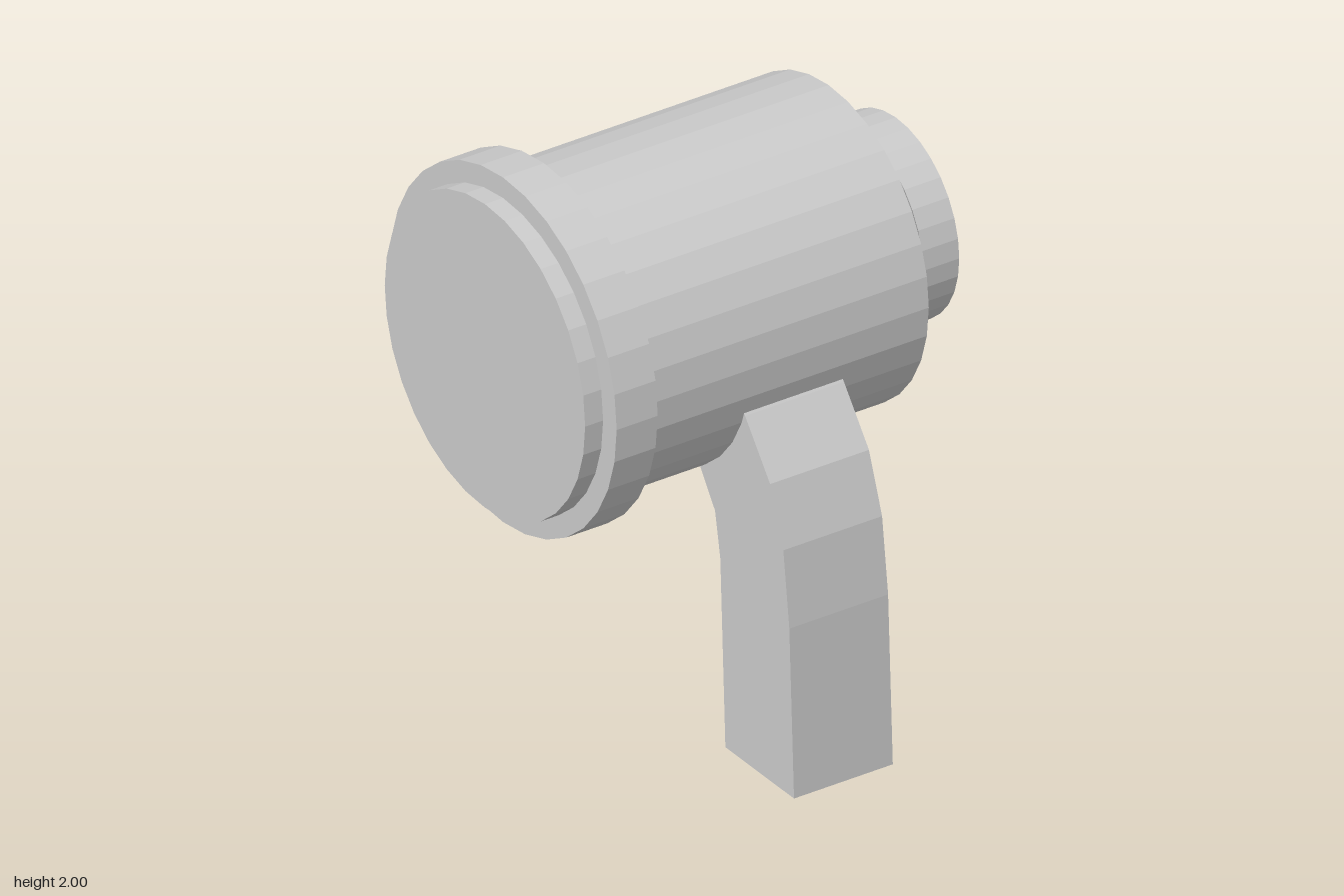
import * as THREE from 'three';

const AXIS_Y = 1.395, AXIS_Z = -0.08, SIDES = 32;

export function createModel() {
  const model = new THREE.Group();
  const material = new THREE.MeshStandardMaterial({ color: 0xcccccc, flatShading: true });

  function add(name, geometry) {
    const mesh = new THREE.Mesh(geometry, material);
    mesh.name = name;
    model.add(mesh);
    return mesh;
  }

  // Drum lying along x, from x0 (radius r0) to x1 (radius r1)
  function drum(name, x0, x1, r0, r1 = r0) {
    const geometry = new THREE.CylinderGeometry(r1, r0, x1 - x0, SIDES);
    geometry.rotateZ(-Math.PI / 2);
    add(name, geometry).position.set((x0 + x1) / 2, AXIS_Y, AXIS_Z);
  }

  drum('body', -0.765, 0.515, 0.533);
  drum('rimBand', -0.698, -0.545, 0.605);
  drum('taperedNeck', 0.515, 0.63, 0.452, 0.338);
  drum('endCap', 0.63, 0.765, 0.338);

  // Curved handle: side outline as (z, y), its upper end buried in the body
  const outline = [
    [0.69, 0], [0.665, 0.585], [0.633, 0.845], [0.563, 1.045], [0.43, 1.222], [0.36, 1.3],
    [0.1, 1.03], [0.19, 0.935], [0.27, 0.815], [0.298, 0.66], [0.325, 0.01],
  ];
  const side = new THREE.Shape(outline.map(([z, y]) => new THREE.Vector2(-z, y)));
  const handle = new THREE.ExtrudeGeometry(side, { depth: 0.368, bevelEnabled: false });
  handle.rotateY(Math.PI / 2);
  add('handle', handle).position.x = -0.153;

  return model;
}
